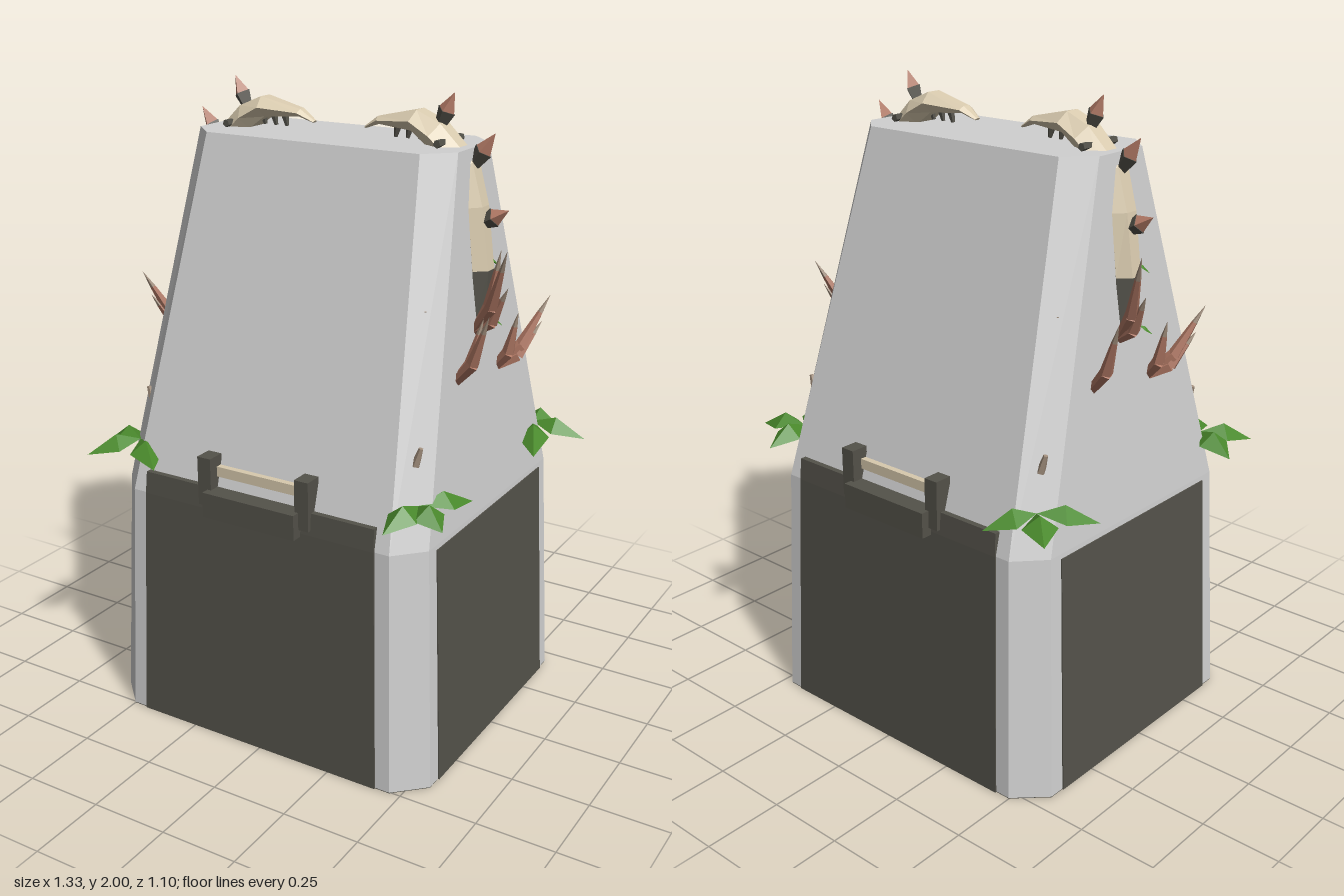
import * as THREE from 'three';

const mat = (name, color, side = THREE.FrontSide) => {
  const m = new THREE.MeshStandardMaterial({ color, side, flatShading: true });
  m.name = name;
  return m;
};
const V = (x, y, z) => new THREE.Vector3(x, y, z);

// Solid skinned over rings of equal point count, closed at both ends
function loft(rings) {
  const pos = [], n = rings[0].length;
  const tri = (...pts) => pts.forEach((p) => pos.push(p.x, p.y, p.z));
  for (let r = 0; r < rings.length - 1; r++) {
    const a = rings[r], b = rings[r + 1];
    for (let i = 0; i < n; i++) {
      const j = (i + 1) % n;
      tri(a[i], a[j], b[j]);
      tri(a[i], b[j], b[i]);
    }
  }
  const s = rings[0], e = rings[rings.length - 1];
  for (let i = 1; i < n - 1; i++) {
    tri(s[0], s[i + 1], s[i]);
    tri(e[0], e[i], e[i + 1]);
  }
  const g = new THREE.BufferGeometry();
  g.setAttribute('position', new THREE.Float32BufferAttribute(pos, 3));
  g.computeVertexNormals();
  return g;
}

// Rectangle with cut corners; cx, cz are where the cuts begin
const octagon = (y, hx, hz, cx, cz) => [
  V(hx, y, cz), V(hx, y, -cz), V(cx, y, -hz), V(-cx, y, -hz),
  V(-hx, y, -cz), V(-hx, y, cz), V(-cx, y, hz), V(cx, y, hz)];
const rect = (y, hx, hz) => [V(hx, y, hz), V(hx, y, -hz), V(-hx, y, -hz), V(-hx, y, hz)];

export function createModel() {
  const stone = mat('pale stone', 0xd0d0d0);
  const dark = mat('dark metal', 0x54524a);
  const bone = mat('bone', 0xd8caae);
  const copper = mat('copper', 0xb07864);
  const tan = mat('thorn tip', 0xa08d7b);
  const green = mat('leaf green', 0x4a8a2c, THREE.DoubleSide);

  const model = new THREE.Group();
  const root = new THREE.Group();
  root.name = 'monument';
  root.position.set(-0.017, 0, -0.012);
  model.add(root);

  const add = (parent, name, geo, material) => {
    const m = new THREE.Mesh(geo, material);
    m.name = name;
    parent.add(m);
    return m;
  };
  const box = (parent, name, material, w, h, d, x, y, z) =>
    add(parent, name, new THREE.BoxGeometry(w, h, d), material).position.set(x, y, z);
  // Tapered rod from point a to point b
  const rod = (parent, name, material, a, b, r0, r1, sides = 5) => {
    const dir = b.clone().sub(a);
    const m = add(parent, name, new THREE.CylinderGeometry(r1, r0, dir.length(), sides), material);
    m.position.copy(a).addScaledVector(dir, 0.5);
    m.quaternion.setFromUnitVectors(V(0, 1, 0), dir.normalize());
  };

  // Main tapering block
  add(root, 'body', loft([
    octagon(0.003, 0.575, 0.518, 0.483, 0.43),
    octagon(0.77, 0.54, 0.492, 0.458, 0.405),
    octagon(1.85, 0.445, 0.178, 0.365, 0.1)]), stone);

  // Dark inlays on the lower faces and underside
  add(root, 'frontBackPanel', loft([
    rect(0, 0.434, 0.522), rect(0.77, 0.41, 0.496), rect(0.84, 0.407, 0.49)]), dark);
  add(root, 'sidePanel', loft([rect(0.001, 0.579, 0.378), rect(0.755, 0.544, 0.36)]), dark);
  add(root, 'basePlate', loft([
    octagon(0, 0.574, 0.517, 0.482, 0.429), octagon(0.003, 0.574, 0.517, 0.482, 0.429)]), dark);

  // Handles on the front and back
  for (const turn of [0, Math.PI]) {
    const handle = new THREE.Group();
    handle.name = turn ? 'backHandle' : 'frontHandle';
    handle.rotation.y = turn;
    box(handle, 'handleBar', dark, 0.325, 0.08, 0.065, 0, 0.8, 0.5);
    for (const s of [-1, 1]) box(handle, 'handlePost', dark, 0.047, 0.155, 0.058, s * 0.173, 0.863, 0.477);
    box(handle, 'handleRod', bone, 0.3, 0.032, 0.02, 0, 0.89, 0.463);
    root.add(handle);
  }

  // Tusk sections: outer x, outer y, inner x, inner y, half width
  const sections = [
    [0.507, 1.33, 0.45, 1.33, 0.045], [0.513, 1.5, 0.44, 1.5, 0.05],
    [0.488, 1.685, 0.43, 1.685, 0.055], [0.453, 1.81, 0.4, 1.77, 0.058],
    [0.348, 1.912, 0.31, 1.845, 0.064], [0.27, 1.945, 0.255, 1.885, 0.06],
    [0.135, 1.915, 0.14, 1.893, 0.03], [0.088, 1.882, 0.092, 1.876, 0.012]];
  const tuskRing = ([ox, oy, ix, iy, w]) => {
    const mx = (ox + ix) / 2, my = (oy + iy) / 2;
    return [V(ox, oy, w * 0.4), V(ox, oy, -w * 0.4), V(mx, my, -w),
      V(ix, iy, -w * 0.5), V(ix, iy, w * 0.5), V(mx, my, w)];
  };
  const rings = sections.map(tuskRing);

  // Spikes on the tusk: base to tip
  const spikes = [
    [V(0.335, 1.905, 0), V(0.38, 2, 0)],
    [V(0.445, 1.8, 0), V(0.511, 1.895, 0)],
    [V(0.48, 1.635, 0), V(0.562, 1.68, 0)]];
  // Thorn clusters: root, then tips
  const clusters = [
    [V(0.485, 1.32, 0.04), V(0.625, 1.6, 0.14), V(0.57, 1.58, 0.06), V(0.61, 1.48, 0.09)],
    [V(0.49, 1.2, 0.17), V(0.615, 1.43, 0.22), V(0.565, 1.4, 0.15)],
    [V(0.49, 1.17, -0.1), V(0.615, 1.39, -0.21), V(0.57, 1.36, -0.08), V(0.6, 1.31, -0.19)]];

  // Folded leaf from root a to tip b
  const leaf = (parent, a, b, w, lift) => {
    const d = b.clone().sub(a);
    const side = V(-d.z, 0, d.x).normalize().multiplyScalar(w);
    const mid = a.clone().addScaledVector(d, 0.45);
    const ridge = mid.clone().add(V(0, lift, 0));
    const l = mid.clone().add(side), r = mid.clone().sub(side);
    const pts = [a, l, ridge, l, b, ridge, b, r, ridge, r, a, ridge];
    const g = new THREE.BufferGeometry().setFromPoints(pts);
    g.computeVertexNormals();
    add(parent, 'leaf', g, green);
  };

  // Each side carries the same growth, turned half around
  for (const turn of [0, Math.PI]) {
    const side = new THREE.Group();
    side.name = turn ? 'rightGrowth' : 'leftGrowth';
    side.rotation.y = turn;
    add(side, 'tuskSocket', loft(rings.slice(0, 2)), dark);
    add(side, 'tusk', loft(rings.slice(1)), bone);
    for (const [a, b] of spikes) {
      const mid = a.clone().lerp(b, 0.45);
      rod(side, 'spikeBase', dark, a, mid, 0.018, 0.029, 4);
      rod(side, 'spikeTip', copper, mid, b, 0.026, 0, 4);
    }
    for (const x of [0.2, 0.24, 0.28])
      rod(side, 'tooth', dark, V(x, 1.9, 0), V(x - 0.01, 1.858, 0), 0.014, 0.006);
    rod(side, 'tuskPin', dark, V(0.365, 1.862, -0.078), V(0.365, 1.862, 0.078), 0.012, 0.012);
    for (const [a, ...tips] of clusters) {
      for (const tip of tips) {
        const bend = a.clone().lerp(tip, 0.4).add(V(0.015, -0.02, 0));
        const neck = bend.clone().lerp(tip, 0.65);
        rod(side, 'thornRoot', copper, a, bend, 0.014, 0.02);
        rod(side, 'thorn', copper, bend, neck, 0.02, 0.009);
        rod(side, 'thornTip', tan, neck, tip, 0.009, 0);
      }
    }
    // Small studs and sprouts
    for (const z of [-0.355, 0.375])
      rod(side, 'stud', tan, V(0.475, 1.01, z), V(0.492, 1.065, z), 0.014, 0.007);
    rod(side, 'stud', tan, V(0.425, 1.4, 0.255), V(0.437, 1.43, 0.262), 0.01, 0.005);
    leaf(side, V(0.475, 1.52, -0.05), V(0.5, 1.49, -0.085), 0.016, 0.01);
    leaf(side, V(0.49, 1.34, -0.05), V(0.52, 1.31, -0.08), 0.016, 0.01);
    root.add(side);
  }

  // Leaf tufts at the four corners: root x, z, then tips x, z
  const tufts = [
    [[-0.49, -0.41], [-0.6, -0.51], [-0.4, -0.54], [-0.62, -0.285]],
    [[-0.5, 0.4], [-0.65, 0.34], [-0.613, 0.527], [-0.355, 0.52]],
    [[0.5, -0.39], [0.497, -0.54], [0.677, -0.408], [0.597, -0.183]],
    [[0.5, 0.4], [0.607, 0.457], [0.472, 0.557], [0.582, 0.217]]];
  for (const [[x, z], ...tips] of tufts) {
    const tuft = new THREE.Group();
    tuft.name = 'leafTuft';
    for (const [tx, tz] of tips) leaf(tuft, V(x, 0.9, z), V(tx, 0.865, tz), 0.052, 0.04);
    root.add(tuft);
  }
  return model;
}
